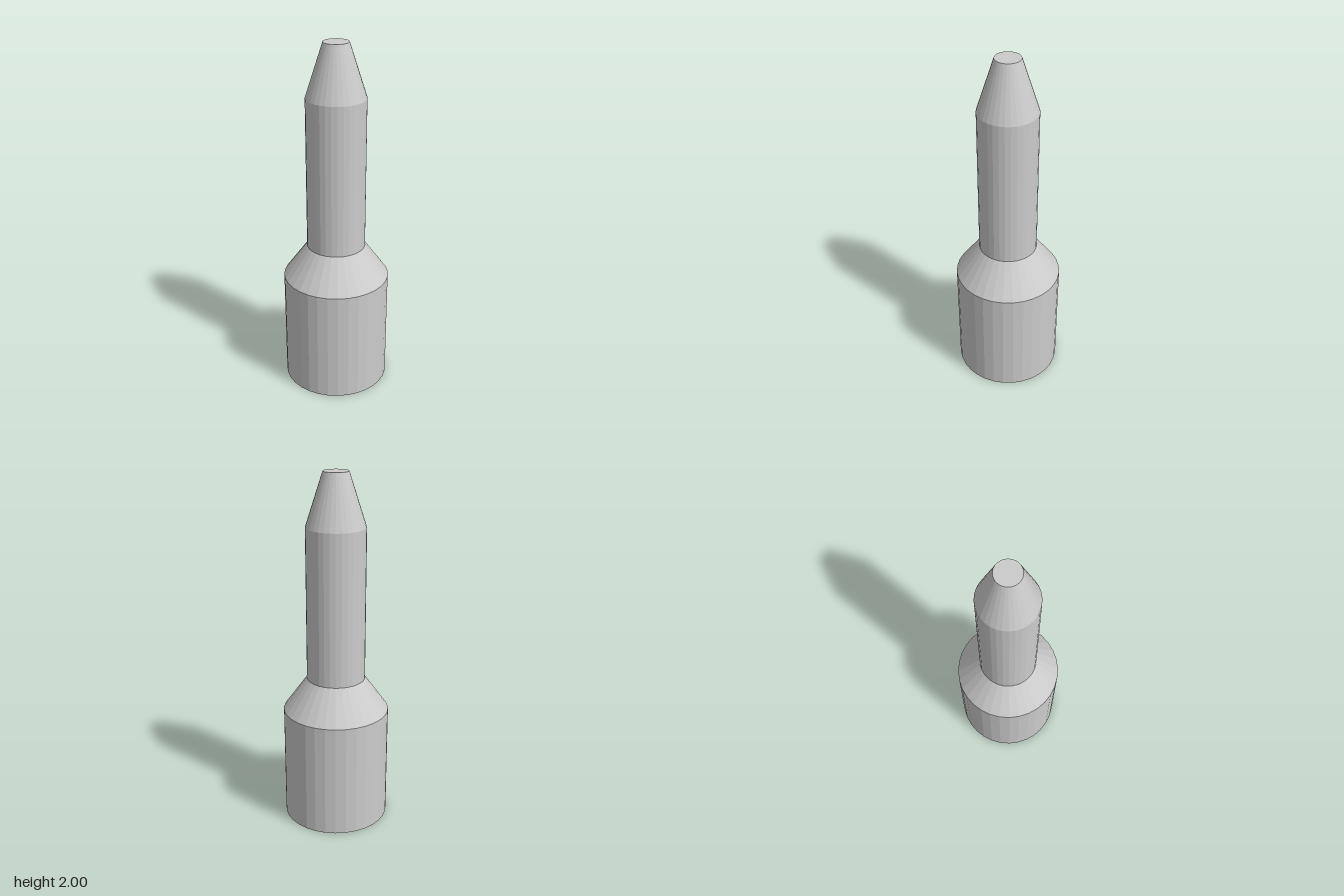
import * as THREE from 'three';

const SIDES = 32;

export function createModel() {
  const model = new THREE.Group();
  const material = new THREE.MeshStandardMaterial({ color: 0xcccccc, flatShading: true });

  const add = (name, geometry) => {
    const mesh = new THREE.Mesh(geometry, material);
    mesh.name = name;
    model.add(mesh);
    return mesh;
  };

  // Stacked open sections: name, bottom radius, top radius, bottom height, top height
  const sections = [
    ['base', 0.3, 0.3, 0, 0.657],
    ['shoulder', 0.3, 0.165, 0.657, 0.845],
    ['shaft', 0.165, 0.165, 0.845, 1.706],
    ['tip', 0.165, 0.07, 1.706, 2],
  ];
  for (const [name, r0, r1, y0, y1] of sections) {
    add(name, new THREE.CylinderGeometry(r1, r0, y1 - y0, SIDES, 1, true)).position.y = (y0 + y1) / 2;
  }

  // Flat end discs closing the solid
  add('bottomCap', new THREE.CircleGeometry(0.3, SIDES).rotateX(Math.PI / 2));
  add('topCap', new THREE.CircleGeometry(0.07, SIDES).rotateX(-Math.PI / 2)).position.y = 2;

  return model;
}
